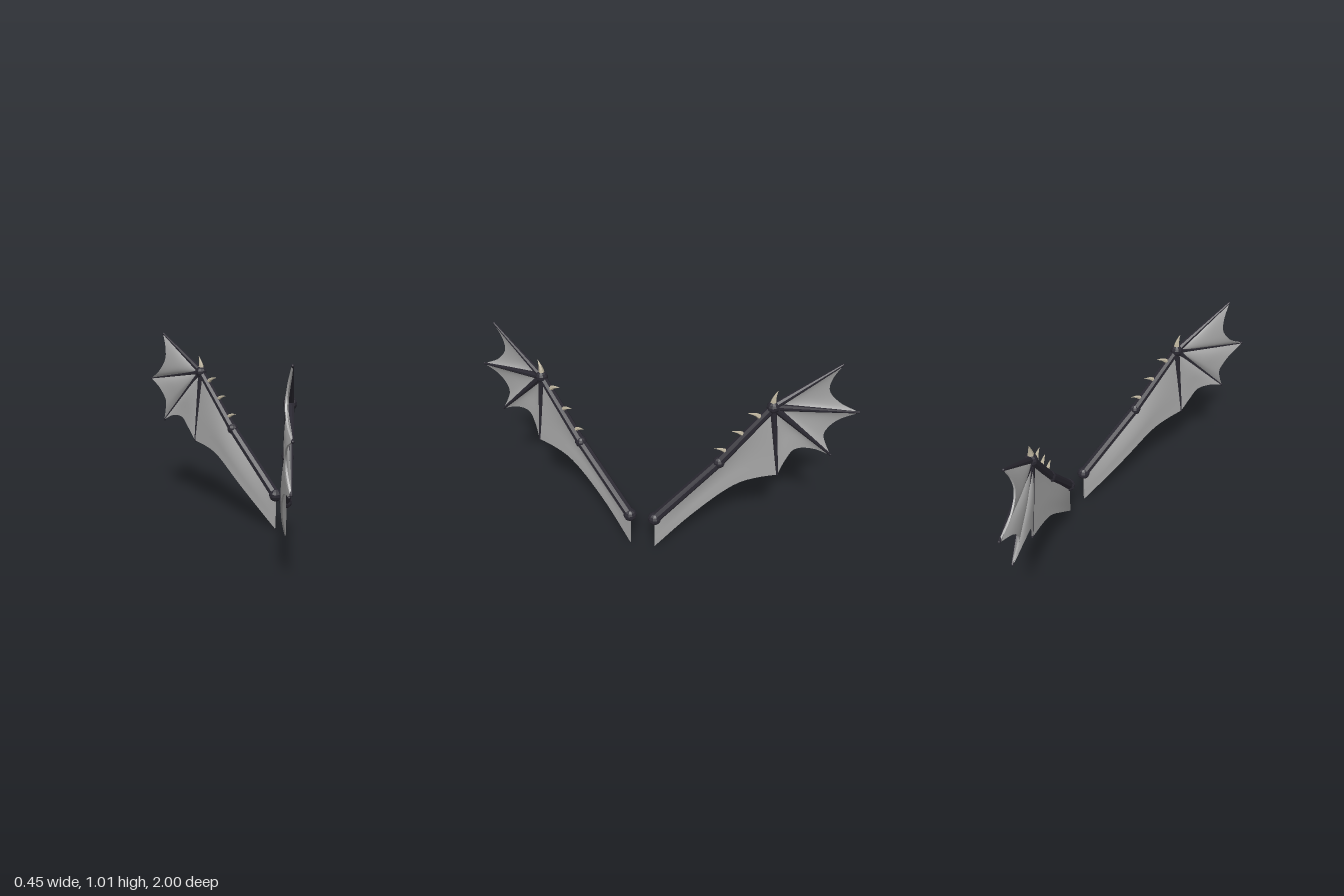
import * as THREE from 'three';

const mat = (name, color, extra = {}) => Object.assign(new THREE.MeshStandardMaterial({ color, ...extra }), { name });

export function createModel() {
  const bone = mat('dark bone', 0x2b2932, { flatShading: true });
  const horn = mat('pale horn', 0xb9b09a, { flatShading: true });
  const skin = mat('grey membrane', 0xa6a6a6, { side: THREE.DoubleSide });
  const model = new THREE.Group();
  model.name = 'wingPair';

  function add(group, name, geometry, material) {
    const mesh = new THREE.Mesh(geometry, material);
    mesh.name = name;
    group.add(mesh);
    return mesh;
  }

  // tapered rod between two points
  function rod(group, name, a, b, ra, rb) {
    const dir = b.clone().sub(a);
    const mesh = add(group, name, new THREE.CylinderGeometry(rb, ra, dir.length(), 8), bone);
    mesh.position.copy(a).lerp(b, 0.5);
    mesh.quaternion.setFromUnitVectors(new THREE.Vector3(0, 1, 0), dir.normalize());
  }

  function ball(group, name, p, r) {
    add(group, name, new THREE.SphereGeometry(r, 10, 7), bone).position.copy(p);
  }

  // curved horn narrowing to a point
  function spike(group, name, a, m, b, r) {
    const path = new THREE.QuadraticBezierCurve3(a, m, b);
    const steps = 5, sides = 6;
    const g = new THREE.TubeGeometry(path, steps, r, sides);
    const pos = g.attributes.position, v = new THREE.Vector3();
    for (let i = 0; i < pos.count; i++) {
      const t = Math.floor(i / (sides + 1)) / steps;
      const c = path.getPointAt(t);
      v.fromBufferAttribute(pos, i).sub(c).multiplyScalar(1 - 0.98 * t).add(c);
      pos.setXYZ(i, v.x, v.y, v.z);
    }
    g.computeVertexNormals();
    add(group, name, g, horn);
  }

  // grid surface from a point function of u and v
  function sheet(fn, nu, nv) {
    const pos = [], idx = [];
    for (let i = 0; i <= nu; i++) {
      for (let j = 0; j <= nv; j++) {
        pos.push(...fn(i / nu, j / nv).toArray());
        if (i < nu && j < nv) {
          const k = i * (nv + 1) + j, l = k + nv + 1;
          idx.push(k, l, k + 1, l, l + 1, k + 1);
        }
      }
    }
    const g = new THREE.BufferGeometry();
    g.setAttribute('position', new THREE.Float32BufferAttribute(pos, 3));
    g.setIndex(idx);
    g.computeVertexNormals();
    return g;
  }

  for (const s of [1, -1]) {
    const wing = new THREE.Group();
    wing.name = s > 0 ? 'frontWing' : 'rearWing';
    model.add(wing);

    // point in the slanted wing plane: distance outwards, height
    const P = (z, y) => new THREE.Vector3(0.224 - 0.444 * z, y, s * z);
    const normal = new THREE.Vector3(0.914, 0, s * 0.406);
    const root = P(0.065, 0.19), elbow = P(0.36, 0.51), wrist = P(0.59, 0.805);

    // arm
    rod(wing, 'upperArm', root, elbow, 0.027, 0.025);
    rod(wing, 'forearm', elbow, wrist, 0.025, 0.021);
    ball(wing, 'shoulderJoint', root, 0.035);
    ball(wing, 'elbowJoint', elbow, 0.031);
    ball(wing, 'wristJoint', wrist, 0.032);

    // fingers
    const tips = [[0.885, 1.005], [0.995, 0.73], [0.892, 0.487], [0.643, 0.397]];
    tips.forEach(([z, y], i) => {
      rod(wing, 'finger' + (i + 1), wrist, P(z, y), 0.018, 0.006);
      ball(wing, 'fingerTip' + (i + 1), P(z, y), 0.007);
    });

    // membrane panels, each hung from an inner line to a scalloped edge
    const edges = [
      [tips[0], [0.853, 0.93], [0.848, 0.862], [0.905, 0.785], tips[1]],
      [tips[1], [0.9, 0.68], [0.851, 0.61], [0.865, 0.55], tips[2]],
      [tips[2], [0.8, 0.528], [0.72, 0.53], [0.68, 0.475], tips[3]],
      [tips[3], [0.56, 0.385], [0.46, 0.352], [0.275, 0.2], [0.065, 0.003]],
    ];
    edges.forEach((pts, i) => {
      const edge = new THREE.CatmullRomCurve3(pts.map(p => P(...p)));
      const arm = i === 3;
      const inner = u => {
        if (!arm) return wrist.clone();
        return u < 0.45 ? wrist.clone().lerp(elbow, u / 0.45) : elbow.clone().lerp(root, (u - 0.45) / 0.55);
      };
      const surface = (u, v, side) => {
        const sag = (arm ? 0.028 : 0.024) * Math.sin(Math.PI * u) * Math.sin(Math.PI * Math.min(v, 0.8) * 0.75);
        return inner(u).lerp(edge.getPointAt(u), v).addScaledVector(normal, side * 0.004 - sag);
      };
      const name = 'membrane' + (i + 1);
      add(wing, name + 'Inner', sheet((u, v) => surface(u, v, 1), 20, 10), skin);
      add(wing, name + 'Outer', sheet((u, v) => surface(u, v, -1), 20, 10), skin);
      add(wing, name + 'Rim', sheet((u, v) => surface(u, 1, 2 * v - 1), 20, 1), skin);
      if (arm) add(wing, 'rootRim', sheet((u, v) => surface(1, u, 2 * v - 1), 4, 1), skin);
    });

    // horns along the forearm and on the wrist
    [[0.54, 0.75], [0.472, 0.655], [0.4, 0.562]].forEach(([z, y], i) => {
      spike(wing, 'armHorn' + (i + 1), P(z, y), P(z - 0.022, y + 0.028), P(z - 0.065, y + 0.032), 0.015);
    });
    spike(wing, 'wristHorn', P(0.59, 0.81), P(0.585, 0.85), P(0.607, 0.895), 0.021);
  }
  return model;
}
